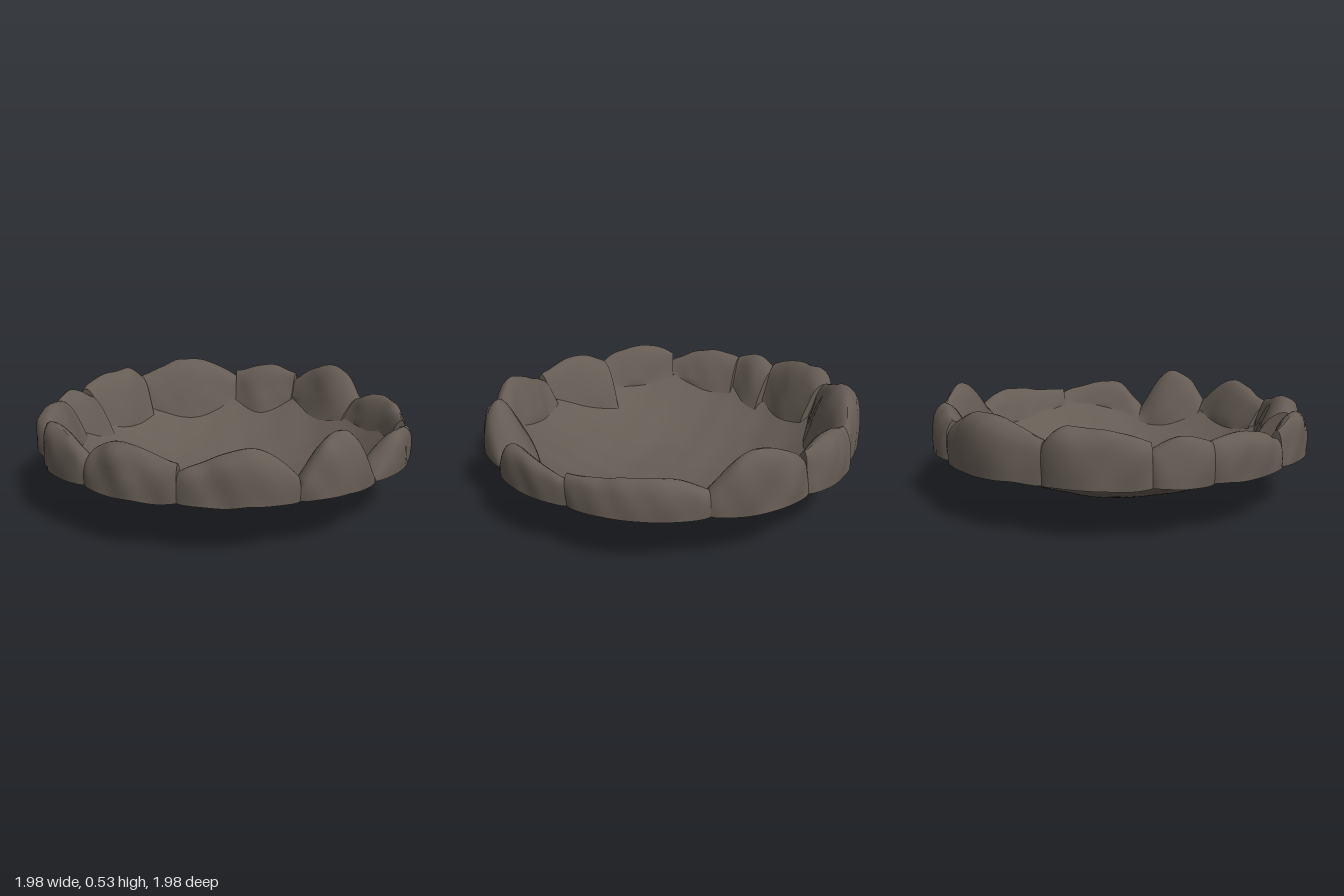
import * as THREE from 'three';
import { toCreasedNormals } from 'three/addons/utils/BufferGeometryUtils.js';

const BASE = 0.25; // height of the stones' outer lower edge

const bowlHeight = r => 0.005 + 0.42 * Math.pow(r, 2.6);

// Smooth lumpiness from a few waves
const lump = (x, y, z) =>
  Math.sin(x * 13 + z * 7 + 1) * Math.sin(z * 15 - x * 5 + y * 9) + 0.5 * Math.sin(x * 29 + y * 23) * Math.sin(z * 27 + 2);

// Stones, each ending where the next starts: start angle (degrees from +x towards +z),
// inner radius at start and end, inward bulge, crest height at start, peak and end, where along it peaks
const STONES = [
  [16, 0.82, 0.88, 0.03, 0.36, 0.43, 0.4, 0.25],
  [55.5, 0.89, 0.77, -0.02, 0.37, 0.44, 0.28, 0.62],
  [88.5, 0.75, 0.84, 0.06, 0.28, 0.525, 0.33, 0.5],
  [115.5, 0.86, 0.81, 0.05, 0.36, 0.49, 0.38, 0.4],
  [148, 0.85, 0.68, 0.03, 0.42, 0.48, 0.42, 0.6],
  [176.5, 0.83, 0.85, 0.03, 0.38, 0.48, 0.42, 0.6],
  [206.5, 0.87, 0.78, 0.04, 0.38, 0.46, 0.42, 0.65],
  [234, 0.83, 0.72, 0.03, 0.42, 0.46, 0.4, 0.5],
  [251, 0.79, 0.77, 0.05, 0.44, 0.51, 0.44, 0.75],
  [280, 0.82, 0.84, 0.11, 0.44, 0.53, 0.4, 0.52],
  [320.5, 0.83, 0.86, 0.09, 0.44, 0.49, 0.46, 0.55],
  [345.5, 0.87, 0.8, 0.06, 0.42, 0.53, 0.36, 0.55],
];

const startOf = i => (i < STONES.length ? STONES[i][0] : STONES[0][0] + 360);
const innerRadius = ([, in0, in1, bulge], u) => in0 + (in1 - in0) * u - bulge * Math.sin(Math.PI * u);

// Radius at which the bowl meets the stones
function rimRadius(angle) {
  const d = THREE.MathUtils.euclideanModulo(THREE.MathUtils.radToDeg(angle) - startOf(0), 360) + startOf(0);
  const i = STONES.findLastIndex(s => s[0] <= d);
  return innerRadius(STONES[i], (d - startOf(i)) / (startOf(i + 1) - startOf(i)));
}

// Stone cross-section: share of the way inwards, share of the height
const SECTION = new THREE.CatmullRomCurve3(
  [[0, 0], [0.01, 0.45], [0.1, 0.84], [0.3, 1], [0.55, 0.86], [0.82, 0.4], [1, 0]].map(([s, f]) => new THREE.Vector3(s, f, 0)));

// Hollow stone, open below, with upright end faces
function stoneGeometry(spec, a0, a1) {
  const [h0, hPeak, h1, peak] = spec.slice(4);
  const N = 24, M = 18, pos = [], index = [];
  for (let i = -1; i <= N + 1; i++) {
    const u = THREE.MathUtils.clamp(i / N, 0, 1), cap = i < 0 || i > N;
    const a = THREE.MathUtils.degToRad(a0 + (a1 - a0) * u);
    const outer = 0.96 + 0.035 * Math.pow(Math.sin(Math.PI * u), 0.6);
    const inner = innerRadius(spec, u);
    const rise = u < peak ? u / peak : (1 - u) / (1 - peak);
    const h = THREE.MathUtils.lerp(u < peak ? h0 : h1, hPeak, Math.sin(rise * Math.PI / 2));
    for (let j = 0; j <= M; j++) {
      const p = SECTION.getPoint(j / M);
      const foot = BASE + (bowlHeight(inner) - BASE) * p.x;
      let r = outer + (inner - outer) * p.x, y = foot + (cap ? 0 : (h - foot) * p.y);
      const n = j < M ? lump(r * Math.cos(a), y, r * Math.sin(a)) : 0;
      if (!cap || j === 0) y += 0.008 * n;
      r = Math.min(r + 0.01 * n, 1);
      pos.push(r * Math.cos(a), y, r * Math.sin(a));
    }
  }
  for (let i = 0; i < N + 2; i++) for (let j = 0; j < M; j++) {
    const a = i * (M + 1) + j, b = a + M + 1;
    index.push(a, a + 1, b, b, a + 1, b + 1);
  }
  const g = new THREE.BufferGeometry();
  g.setAttribute('position', new THREE.Float32BufferAttribute(pos, 3));
  g.setIndex(index);
  return toCreasedNormals(g, 0.7);
}

// Thin shallow bowl, spread out to the foot of the stones, slightly uneven
function bowlGeometry() {
  const spokes = Array.from({ length: 31 }, (_, i) => new THREE.Vector2(i / 30, 0));
  const g = new THREE.LatheGeometry(spokes, 180);
  const p = g.attributes.position;
  for (let i = 0; i < p.count; i++) {
    const reach = rimRadius(Math.atan2(p.getZ(i), p.getX(i))) + 0.012;
    const x = p.getX(i) * reach, z = p.getZ(i) * reach, r = Math.hypot(x, z);
    const y = bowlHeight(r) + 0.005 * lump(x * 0.8, 0, z * 0.8) * Math.min(1, r * 4);
    p.setXYZ(i, x, Math.max(0, y), z);
  }
  return toCreasedNormals(g, 1);
}

export function createModel() {
  const rock = new THREE.MeshStandardMaterial({ color: 0x655c54, side: THREE.DoubleSide });
  rock.name = 'darkRock';

  const model = new THREE.Group();
  model.name = 'stoneRingBowl';

  const bowl = new THREE.Mesh(bowlGeometry(), rock);
  bowl.name = 'bowl';
  model.add(bowl);

  // Ring of rim stones
  const ring = new THREE.Group();
  ring.name = 'rimStones';
  STONES.forEach((spec, i) => {
    const stone = new THREE.Mesh(stoneGeometry(spec, startOf(i), startOf(i + 1)), rock);
    stone.name = 'rimStone' + (i + 1);
    ring.add(stone);
  });
  model.add(ring);
  return model;
}
